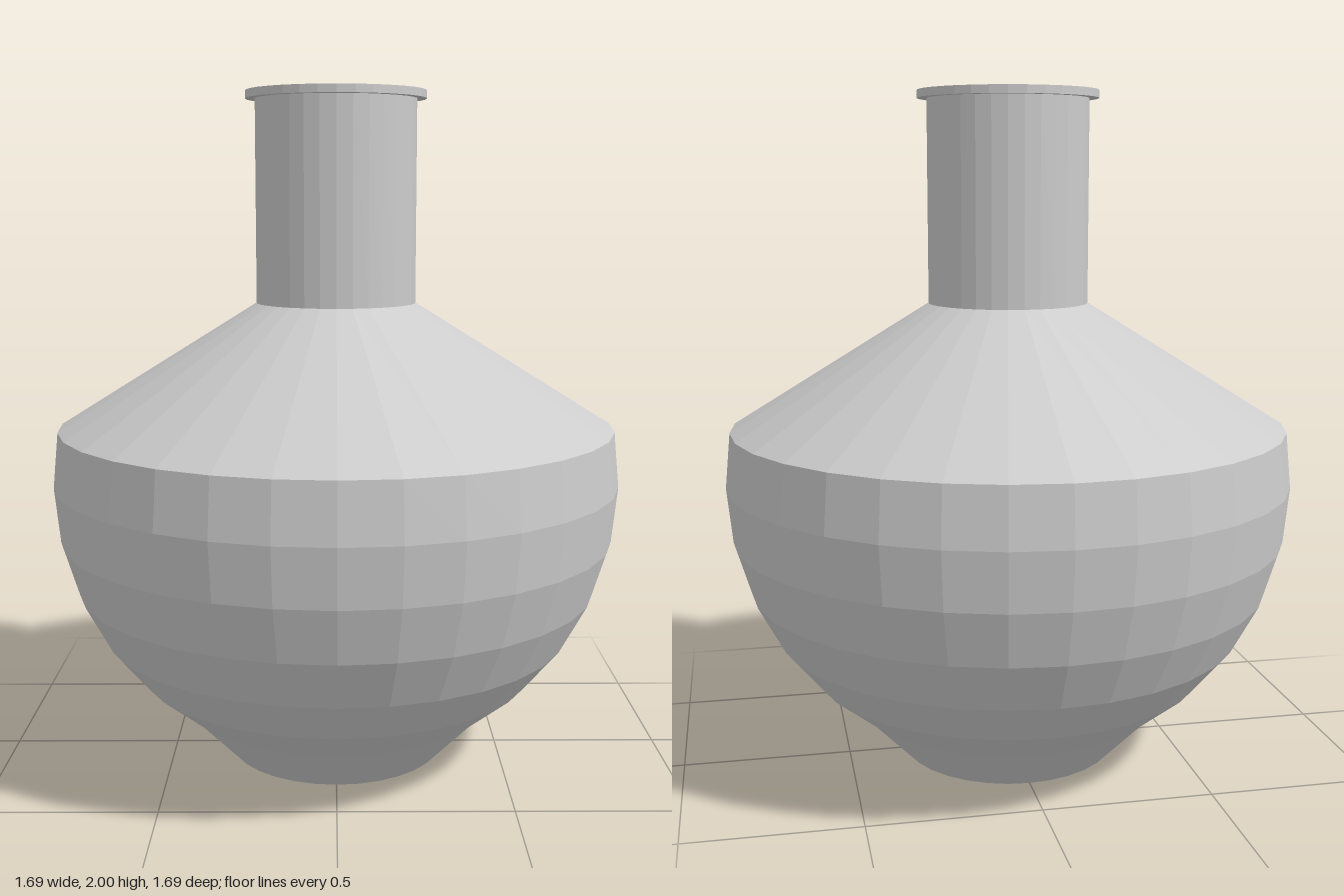
import * as THREE from 'three';

const SIDES = 32;
const material = new THREE.MeshStandardMaterial({
  color: 0xcccccc,
  flatShading: true,
  side: THREE.DoubleSide,
});

// Turned part from [radius, height] pairs, listed from bottom to top.
function turned(name, profile) {
  const points = profile.map(([r, y]) => new THREE.Vector2(r, y));
  const mesh = new THREE.Mesh(new THREE.LatheGeometry(points, SIDES), material);
  mesh.name = name;
  return mesh;
}

export function createModel() {
  const group = new THREE.Group();
  group.name = 'vase';

  const bellyRadius = 0.845, bellyCentre = 0.853;
  const footRadius = 0.325, neckRadius = 0.237, neckBase = 1.385;
  const rimRadius = 0.265, rimBase = 1.977, top = 2;

  // Round belly: bands of a sphere, from five steps below its equator to one above
  const belly = [[footRadius, 0]];
  for (let i = -5; i <= 1; i++) {
    const a = (i * Math.PI) / 16;
    belly.push([bellyRadius * Math.cos(a), bellyCentre + bellyRadius * Math.sin(a)]);
  }
  const bellyTop = belly[belly.length - 1];

  group.add(
    turned('base', [[0, 0], [footRadius, 0]]),
    turned('belly', belly),
    turned('shoulder', [bellyTop, [neckRadius, neckBase]]),
    // Open, thin-walled neck
    turned('neck', [[neckRadius, neckBase], [neckRadius, top]]),
    // Flat lip around the mouth
    turned('rim', [[neckRadius, rimBase], [rimRadius, rimBase], [rimRadius, top], [neckRadius, top]])
  );
  return group;
}
